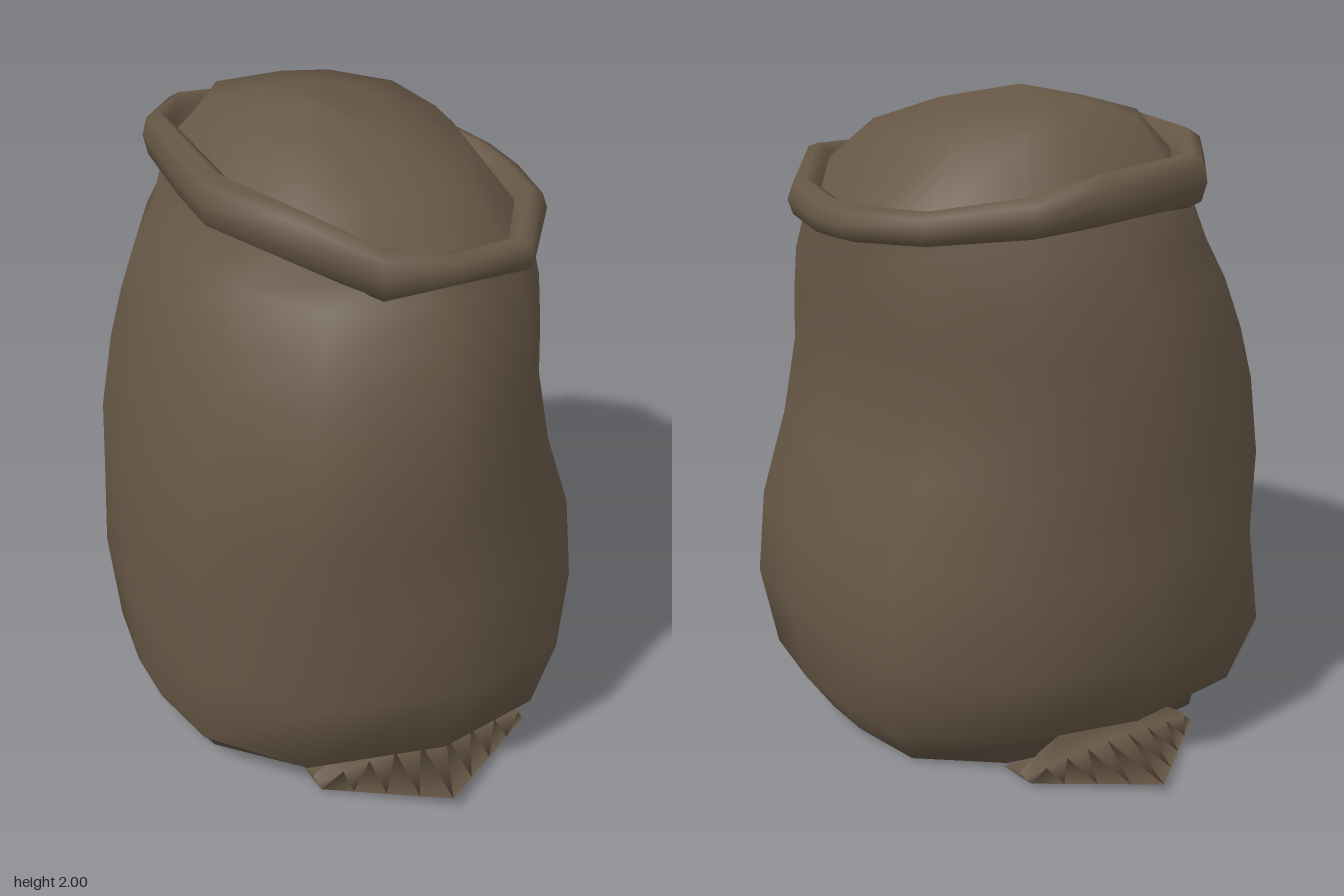
import * as THREE from 'three';

const burlap = new THREE.MeshStandardMaterial({ color: 0x675746, side: THREE.DoubleSide });
burlap.name = 'brown burlap';

// Skin a list of rings (arrays of [x, y, z]) with smooth normals
function loft(name, rings, closed = true) {
  const n = rings[0].length, index = [];
  for (let j = 0; j < rings.length - 1; j++) {
    for (let i = 0; i < (closed ? n : n - 1); i++) {
      const a = j * n + i, b = j * n + (i + 1) % n;
      index.push(a, a + n, b, b, a + n, b + n);
    }
  }
  const geo = new THREE.BufferGeometry();
  geo.setAttribute('position', new THREE.Float32BufferAttribute(rings.flat(2), 3));
  geo.setIndex(index);
  geo.computeVertexNormals();
  const mesh = new THREE.Mesh(geo, burlap);
  mesh.name = name;
  return mesh;
}

// Uneven floor plan of the sack (x, z), from the left side round by the front
const plan = [
  [0.99, 0.17], [0.91, 0.54], [0.55, 0.91], [0.02, 1], [-0.61, 0.85], [-0.94, 0.47], [-1, 0.12],
  [-0.99, -0.17], [-0.92, -0.54], [-0.63, -0.94], [-0.02, -1], [0.57, -0.84], [0.95, -0.49], [1, -0.12],
];

// Plan fitted between side limits at one height
const section = ([y, x0, x1, z0, z1]) => plan.map(([px, pz]) =>
  [(x0 + x1) / 2 + px * (x1 - x0) / 2, y, (z0 + z1) / 2 + pz * (z1 - z0) / 2]);

// Centre line of the rolled mouth and half height of the roll, in the same order
const mouth = [
  [0.565, 1.665, 0.06, 0.06], [0.515, 1.665, 0.27, 0.065], [0.275, 1.70, 0.595, 0.05],
  [0.06, 1.70, 0.59, 0.045], [-0.15, 1.72, 0.575, 0.08], [-0.335, 1.80, 0.37, 0.085],
  [-0.425, 1.80, 0.08, 0.09], [-0.415, 1.805, -0.12, 0.09], [-0.385, 1.805, -0.43, 0.085],
  [-0.24, 1.785, -0.61, 0.08], [0.07, 1.77, -0.60, 0.075], [0.28, 1.74, -0.555, 0.06],
  [0.505, 1.705, -0.37, 0.05], [0.57, 1.675, -0.1, 0.055],
];
const MX = 0.08;

// Sewn hem flap lying on the ground, side = 1 front, -1 back
function hemFlap(name, side, halfWidth, tipX, tipY) {
  const rows = [[], [], [], []];
  for (let i = 0; i <= 8; i++) {
    const t = 1 - i / 4, bulge = 1 - t * t, peak = 1 - Math.abs(t);
    const x = side * t * halfWidth;
    rows[0].push([x, 0.003, side * 0.48]);
    rows[1].push([x + tipX * peak, 0.012 + (tipY - 0.012) * peak, side * (0.62 + 0.26 * peak)]);
    rows[2].push([x, 0.014 + 0.02 * bulge, side * 0.59]);
    rows[3].push([x, 0.02 + 0.11 * bulge, side * 0.56]);
  }
  return loft(name, rows, false);
}

export function createModel() {
  const group = new THREE.Group();
  group.name = 'open sack';

  // Sagging cloth body: height, right, left, back, front
  const profile = [
    [0.01, -0.03, -0.03, 0, 0],
    [0.003, -0.61, 0.55, -0.56, 0.56],
    [0.03, -0.63, 0.58, -0.58, 0.58],
    [0.14, -0.69, 0.65, -0.69, 0.75],
    [0.4, -0.70, 0.695, -0.815, 0.83],
    [0.68, -0.70, 0.675, -0.76, 0.79],
    [0.94, -0.685, 0.58, -0.765, 0.795],
    [1.18, -0.64, 0.535, -0.755, 0.775],
    [1.34, -0.595, 0.545, -0.74, 0.735],
    [1.49, -0.55, 0.545, -0.70, 0.69],
    [1.61, -0.485, 0.535, -0.665, 0.62],
  ];
  const rings = profile.map(section);
  // Lift the lower edge over the hem flaps
  rings[2].forEach((p, i) => { p[1] += 0.1 * Math.abs(plan[i][1]) ** 3; });
  rings.push(mouth.map(([x, y, z]) => [MX + (x - MX) * 0.97, y - 0.02, z * 0.97]));
  group.add(loft('sackBody', rings));

  // Rolled rim
  const rim = [];
  for (let j = 0; j <= 8; j++) {
    const phi = -Math.PI + j / 8 * Math.PI * 2;
    rim.push(mouth.map(([x, y, z, half]) => {
      const r = 1 + 0.053 * Math.cos(phi) / Math.hypot(x - MX, z);
      return [MX + (x - MX) * r, y + half * Math.sin(phi), z * r];
    }));
  }
  group.add(loft('rolledRim', rim));

  // Heaped contents: outline fraction and rise towards the peak, leaning back
  const heap = [[1, 0, 0], [0.74, 0.6, 0.06], [0.4, 0.83, 0.025], [0, 1, 0]].map(([f, rise, lean]) =>
    mouth.map(([x, y, z]) => [
      -0.05 + (x * 0.95 + 0.05) * f,
      y + (2 - y) * rise + lean * (x / 3 - z),
      -0.05 + (z * 0.95 + 0.05) * f,
    ]));
  group.add(loft('heapedContents', heap));

  group.add(hemFlap('frontHemFlap', 1, 0.37, -0.05, 0.05), hemFlap('backHemFlap', -1, 0.32, 0.02, 0.03));
  return group;
}
